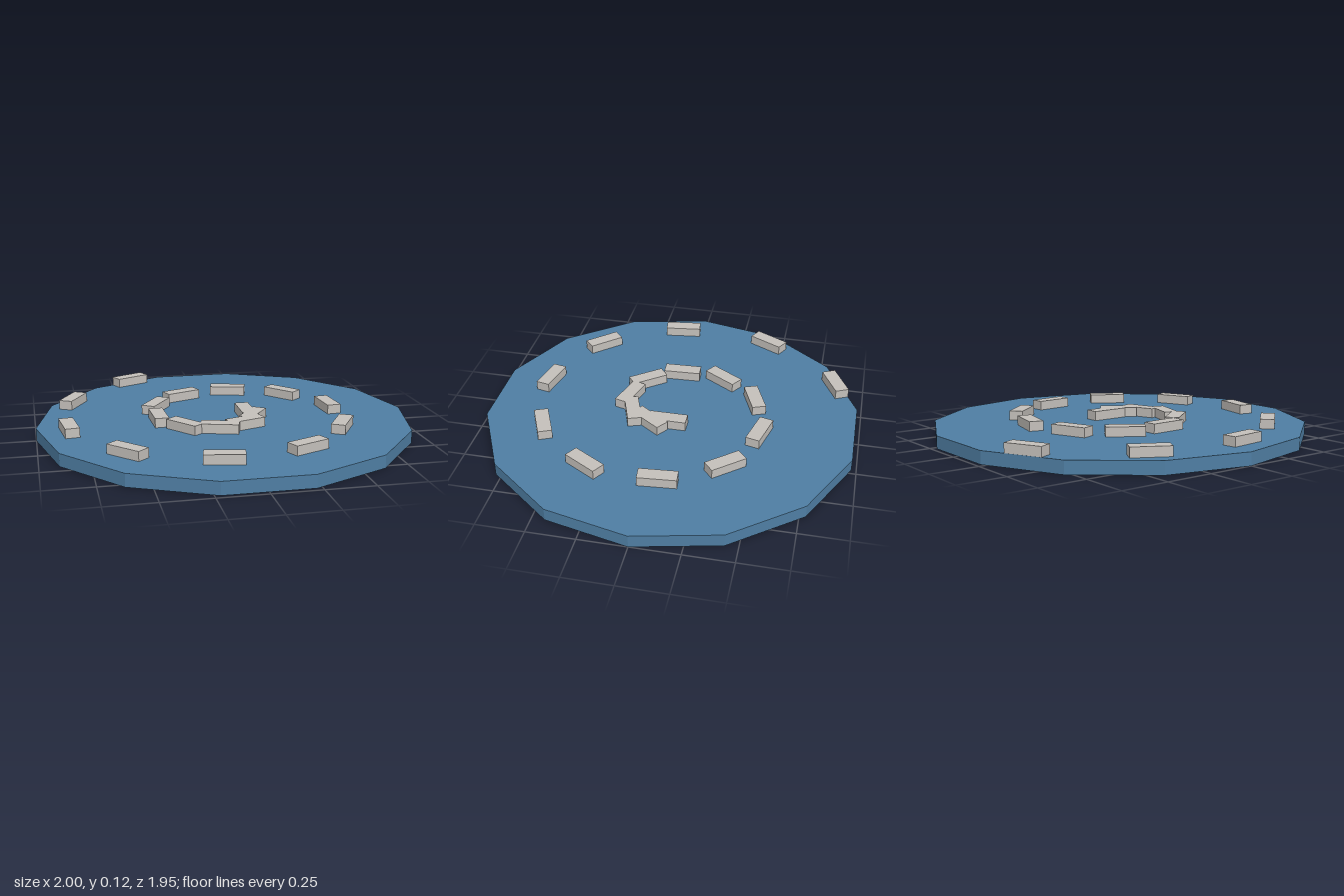
import * as THREE from 'three';

export function createModel() {
  const model = new THREE.Group();
  const blue = new THREE.MeshStandardMaterial({ color: 0x4f7ea3 });
  blue.name = 'slate blue';
  blue.flatShading = true;
  const stone = new THREE.MeshStandardMaterial({ color: 0xc4c0bb });
  stone.name = 'pale stone';

  // Fourteen-sided base disc with corners on the x axis
  const discHeight = 0.067;
  const disc = new THREE.Mesh(
    new THREE.CylinderGeometry(1, 1, discHeight, 14, 1, false, Math.PI / 2), blue);
  disc.name = 'baseDisc';
  disc.position.y = discHeight / 2;
  model.add(disc);

  // Blocks laid along an outward spiral, each tangent to its circle
  const spiral = new THREE.Group();
  spiral.name = 'blockSpiral';
  const blockHeight = 0.05;
  const blockGeometry = new THREE.BoxGeometry(0.075, blockHeight, 0.2);
  for (let i = 0; i < 18; i++) {
    const angle = i * 0.62;
    const radius = 0.117 + i * 0.0482;
    const block = new THREE.Mesh(blockGeometry, stone);
    block.name = `spiralBlock${i + 1}`;
    block.position.set(
      radius * Math.cos(angle), discHeight + blockHeight / 2, radius * Math.sin(angle));
    block.rotation.y = -angle;
    spiral.add(block);
  }
  model.add(spiral);
  return model;
}
